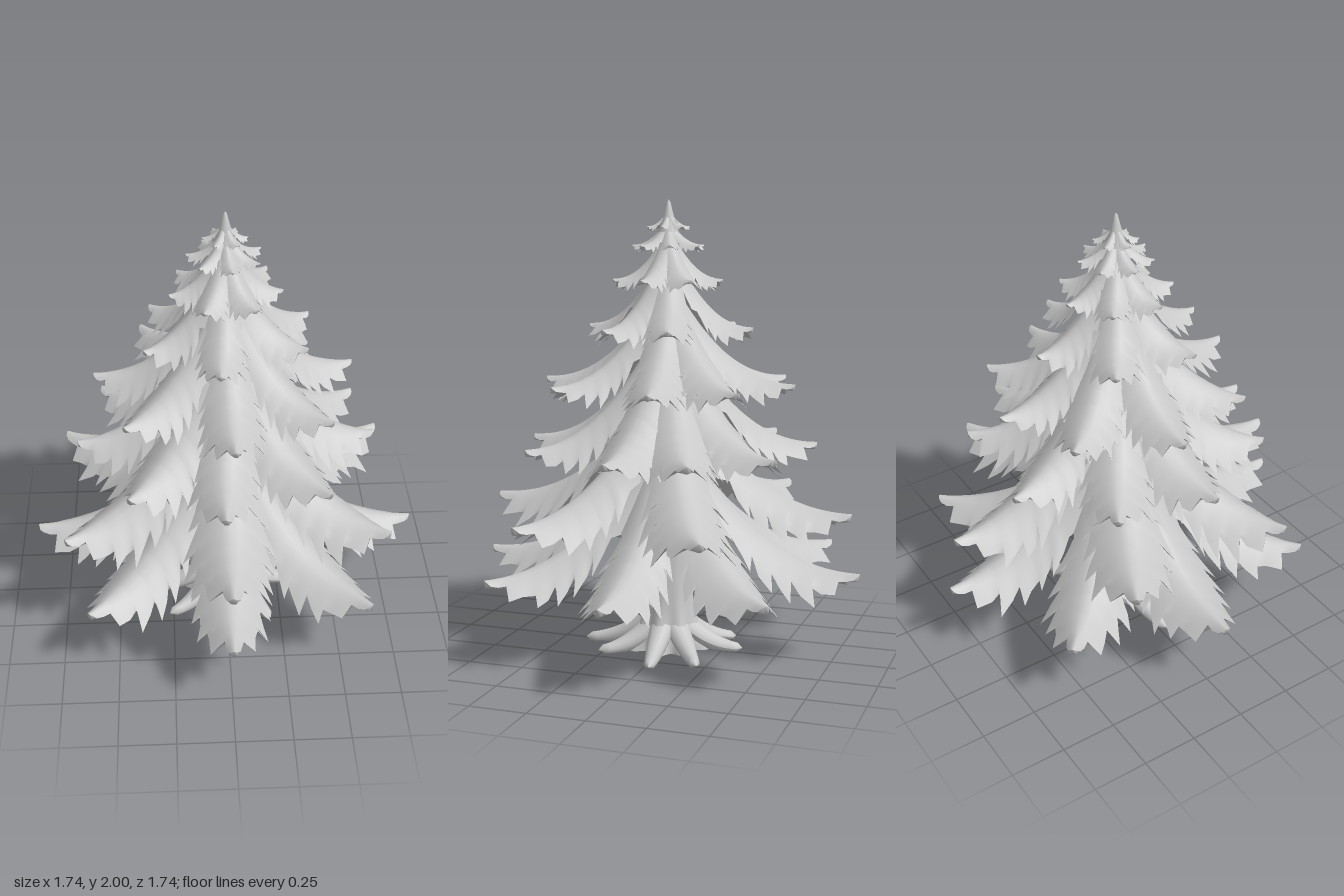
import * as THREE from 'three';

const bark = new THREE.MeshStandardMaterial({ color: 0xc8c8c8 });
bark.name = 'pale grey';

// Small repeatable random numbers
let seed = 7;
const rnd = () => (seed = (seed * 16807) % 2147483647) / 2147483647;
const vary = (a) => 1 + (rnd() * 2 - 1) * a;

// Linear lookup in a list of [position, value]
function lookup(points, t) {
  for (let i = 1; i < points.length; i++) {
    const [a, va] = points[i - 1], [b, vb] = points[i];
    if (t <= b) return va + ((vb - va) * (t - a)) / (b - a);
  }
  return points[points.length - 1][1];
}

// Surface from a grid of points; flip turns the faces over
function addGrid(rows, pos, index, flip) {
  const base = pos.length / 3, n = rows[0].length;
  rows.forEach((row) => row.forEach((p) => pos.push(...p)));
  for (let i = 0; i < rows.length - 1; i++) {
    for (let j = 0; j < n - 1; j++) {
      const a = base + i * n + j, b = a + 1, c = a + n, d = c + 1;
      if (flip) index.push(a, c, b, b, c, d);
      else index.push(a, b, c, b, d, c);
    }
  }
}

function toGeometry(pos, index) {
  const g = new THREE.BufferGeometry();
  g.setAttribute('position', new THREE.Float32BufferAttribute(pos, 3));
  g.setIndex(index);
  g.computeVertexNormals();
  return g;
}

// Half-width along a bough, as a share of its widest
const ENVELOPE = [[0, 0.38], [0.3, 0.76], [0.5, 0.98], [0.64, 1], [0.75, 0.86], [0.85, 0.56], [0.91, 0.26], [1, 0.13]];

// Stations along a bough: [t, edge widening, outward sweep]; smooth first, then teeth
function boughStations(teeth) {
  const list = [0, 0.06, 0.14, 0.22, 0.3].map((t) => [t, 0, 0]);
  const start = 0.36, dt = 0.52 / teeth;
  for (let i = 0; i < teeth; i++) {
    const t = start + i * dt;
    list.push([t, -0.2, 0], [t + dt * 0.42, -0.06, dt * 0.12], [t + dt * 0.8, 0.12, dt * 0.45]);
  }
  list.push([0.9, -0.2, 0], [0.94, 0, 0], [0.975, 0, 0], [0.993, -0.3, 0], [1, -1, 0]);
  return list;
}

// Drooping bough along +x: arched across, toothed outer edges, blunt raised tip
function boughGeometry({ reach, tip, rise, width, teeth }) {
  const top = [], under = [], half = 5, inner = 0.025;
  const out = reach - inner, size = width * vary(0.06);
  for (const [t, k, sweep] of boughStations(teeth)) {
    const w = size * lookup(ENVELOPE, t), closed = k === -1;
    const ridge = tip + rise * Math.pow(1 - t, 2.2);
    const thick = closed ? 0 : 0.2 * width;
    const jag = [vary(0.45), vary(0.45)];
    const rowA = [], rowB = [];
    for (let j = -half; j <= half; j++) {
      const v = j / half, e = Math.abs(v), q = jag[v < 0 ? 0 : 1];
      const cut = closed ? -1 : k * e * e * q;
      const x = inner + out * (t + sweep * e * e * e * q);
      const y = ridge - w * 0.82 * Math.pow(e, 1.6) * (1 + 1.6 * cut * (closed ? 0.625 : 1));
      const z = w * v * (1 + cut);
      rowA.push([x, y, z]);
      rowB.push([x, y - thick * (1 - e * e), z]);
    }
    top.push(rowA);
    under.push(rowB);
  }
  const pos = [], index = [];
  addGrid(top, pos, index, false);
  addGrid(under, pos, index, true);
  return toGeometry(pos, index);
}

// Even ring of angles in degrees
const ring = (n, offset = 0) => Array.from({ length: n }, (_, i) => offset + (360 / n) * i);

const TIERS = [
  { reach: 0.87, tip: 0.405, rise: 0.6, width: 0.172, teeth: 5, angles: ring(8, 0) },
  { reach: 0.83, tip: 0.665, rise: 0.55, width: 0.172, teeth: 5, angles: [32, 90, 149, 207, 270, 333] },
  { reach: 0.66, tip: 0.94, rise: 0.54, width: 0.152, teeth: 5, angles: [5, 50, 92, 130, 173, 212, 253, 300, 335] },
  { reach: 0.575, tip: 1.215, rise: 0.42, width: 0.128, teeth: 5, angles: [41, 88, 139, 184, 230, 270, 312, 350] },
  { reach: 0.385, tip: 1.455, rise: 0.32, width: 0.108, teeth: 4, angles: [28, 95, 154, 213, 270, 342] },
  { reach: 0.245, tip: 1.66, rise: 0.18, width: 0.075, teeth: 4, angles: ring(7, 10) },
  { reach: 0.162, tip: 1.805, rise: 0.08, width: 0.042, teeth: 3, angles: ring(7, 30) },
  { reach: 0.095, tip: 1.885, rise: 0.04, width: 0.025, teeth: 3, angles: ring(6, 0) },
];

// Trunk with closed foot and fluted flare
function trunkGeometry() {
  const profile = [[0, 0.004], [0.17, 0.004], [0.17, 0.004], [0.16, 0.04], [0.14, 0.09], [0.122, 0.16], [0.11, 0.25],
    [0.1, 0.4], [0.09, 0.8], [0.065, 1.3], [0.04, 1.7], [0.03, 1.9]].map(([r, y]) => new THREE.Vector2(r, y));
  const g = new THREE.LatheGeometry(profile, 48);
  const p = g.attributes.position;
  for (let i = 0; i < p.count; i++) {
    const x = p.getX(i), z = p.getZ(i), y = p.getY(i);
    const s = 1 + 0.2 * Math.exp(-y / 0.12) * Math.cos(8 * Math.atan2(z, x));
    p.setX(i, x * s);
    p.setZ(i, z * s);
  }
  g.computeVertexNormals();
  return g;
}

// Tapering root along +x, flat on the ground
function rootGeometry(length, bend) {
  const rows = [], sides = 12, steps = 12;
  for (let i = 0; i <= steps; i++) {
    const t = i / steps, row = [];
    const r = i === steps ? 0 : 0.062 * (1 - 0.68 * t);
    const x = 0.06 + (length - 0.06) * t, cy = 0.012 + 0.13 * Math.pow(1 - t, 2.2);
    const cz = bend * t * t;
    for (let j = 0; j <= sides; j++) {
      const a = (j / sides) * Math.PI * 2;
      row.push([x, Math.max(0, cy + r * Math.sin(a)), cz + r * Math.cos(a)]);
    }
    rows.push(row);
  }
  const pos = [], index = [];
  addGrid(rows, pos, index, true);
  return toGeometry(pos, index);
}

export function createModel() {
  const tree = new THREE.Group();
  tree.name = 'firTree';
  const add = (parent, geometry, name) => {
    const mesh = new THREE.Mesh(geometry, bark);
    mesh.name = name;
    parent.add(mesh);
    return mesh;
  };

  // Trunk and roots
  add(tree, trunkGeometry(), 'trunk');
  const roots = new THREE.Group();
  roots.name = 'roots';
  tree.add(roots);
  const lengths = [0.36, 0.33, 0.39, 0.34, 0.4, 0.33, 0.34, 0.35];
  lengths.forEach((length, i) => {
    const root = add(roots, rootGeometry(length, i % 2 ? 0.04 : -0.03), 'root');
    root.rotation.y = -(i * Math.PI) / 4;
  });

  // Tiers of boughs
  TIERS.forEach((tier, n) => {
    const group = new THREE.Group();
    group.name = 'boughTier' + (n + 1);
    tier.angles.forEach((angle) => {
      const bough = add(group, boughGeometry(tier), 'bough');
      bough.rotation.y = -THREE.MathUtils.degToRad(angle);
    });
    tree.add(group);
  });

  // Pointed top shoot
  const spire = [[0.045, 1.86], [0.032, 1.9], [0.018, 1.95], [0.008, 1.99], [0, 2]];
  add(tree, new THREE.LatheGeometry(spire.map(([r, y]) => new THREE.Vector2(r, y)), 16), 'topShoot');
  return tree;
}
